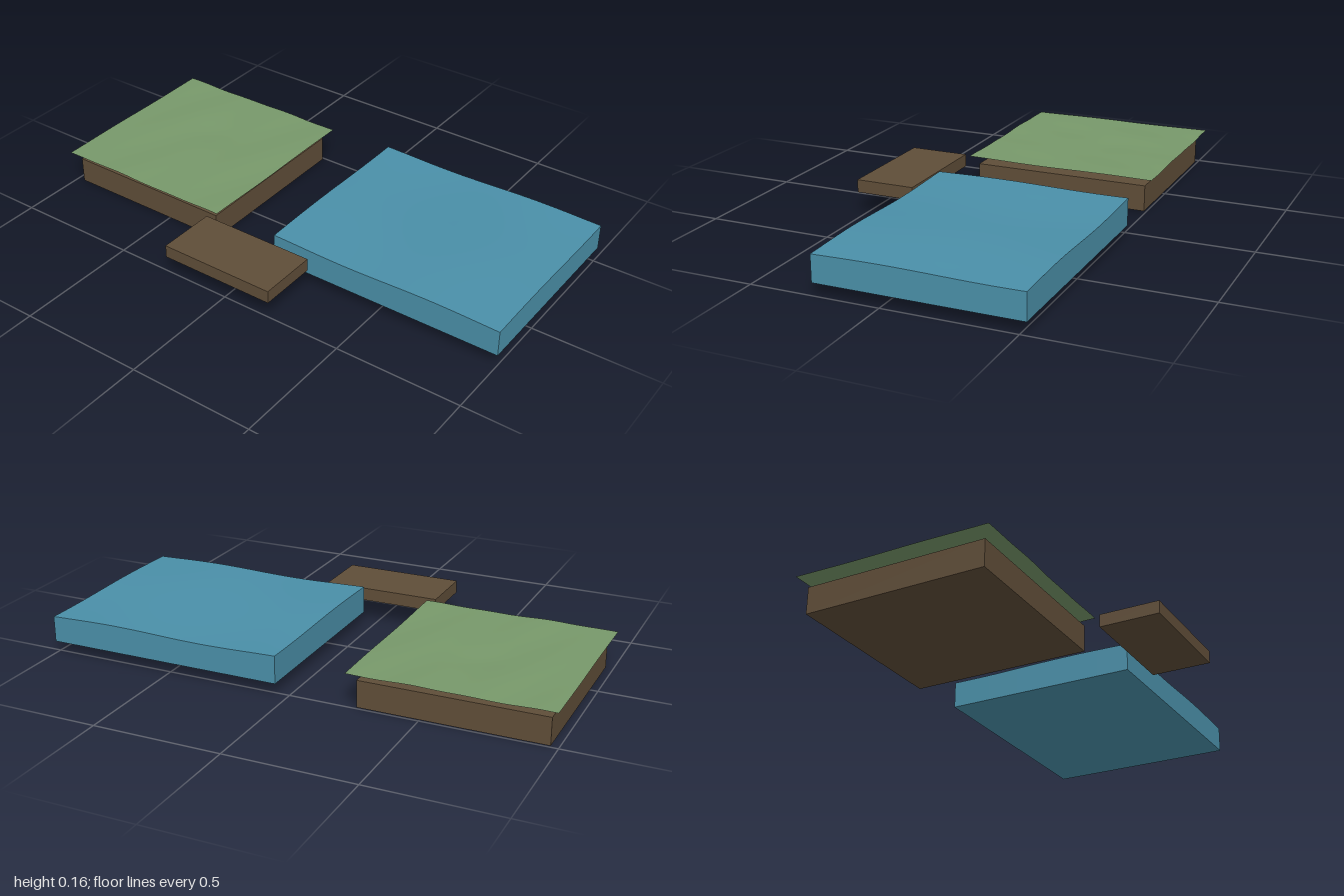
import * as THREE from 'three';

const mat = (name, color, side = THREE.FrontSide) => {
  const m = new THREE.MeshStandardMaterial({ color, side });
  m.name = name;
  return m;
};

// Box given by its limits on each axis
function block(name, material, [x0, x1], [y0, y1], [z0, z1], sx = 1, sz = 1) {
  const g = new THREE.BoxGeometry(x1 - x0, y1 - y0, z1 - z0, sx, 1, sz);
  g.translate((x0 + x1) / 2, (y0 + y1) / 2, (z0 + z1) / 2);
  const mesh = new THREE.Mesh(g, material);
  mesh.name = name;
  return mesh;
}

// Sets the height of every vertex above minY by a rule
function shapeTop(geometry, minY, height) {
  const p = geometry.attributes.position;
  for (let i = 0; i < p.count; i++) {
    if (p.getY(i) > minY) p.setY(i, height(p.getX(i), p.getZ(i)));
  }
  geometry.computeVertexNormals();
}

export function createModel() {
  const wood = mat('earth brown', 0x5f4d38);
  const green = mat('grass green', 0x77986a, THREE.DoubleSide);
  const blue = mat('water blue', 0x4a8fa8);
  const group = new THREE.Group();
  group.name = 'pondAndMeadow';

  // Soil slab under the meadow
  group.add(block('soil', wood, [-0.97, -0.26], [0, 0.105], [-0.49, 0.225]));

  // Thin, gently uneven sheet of grass hovering over the soil
  const sheet = new THREE.PlaneGeometry(0.77, 0.78, 24, 24);
  sheet.rotateX(-Math.PI / 2).translate(-0.615, 0.14, -0.135);
  shapeTop(sheet, 0, (x, z) => 0.14
    + 0.0018 * Math.sin(13 * x + 2) * Math.cos(11 * z)
    + 0.001 * Math.sin(27 * x + 9 * z)
    - 0.006 * Math.exp(-((x + 0.61) ** 2 + (z + 0.21) ** 2) / 0.008));
  const grass = new THREE.Mesh(sheet, green);
  grass.name = 'grass';
  group.add(grass);

  // Water block with a rippled surface
  const water = block('water', blue, [0.045, 1], [0.047, 0.155], [-0.525, 0.255], 32, 24);
  shapeTop(water.geometry, 0.1, (x, z) =>
    0.154 + 0.004 * Math.cos(8.4 * (x - 0.73)) + 0.003 * Math.cos(7.5 * z));
  group.add(water);

  // Floating wooden dock
  group.add(block('dock', wood, [-0.255, 0.22], [0.088, 0.139], [0.285, 0.525]));

  return group;
}
